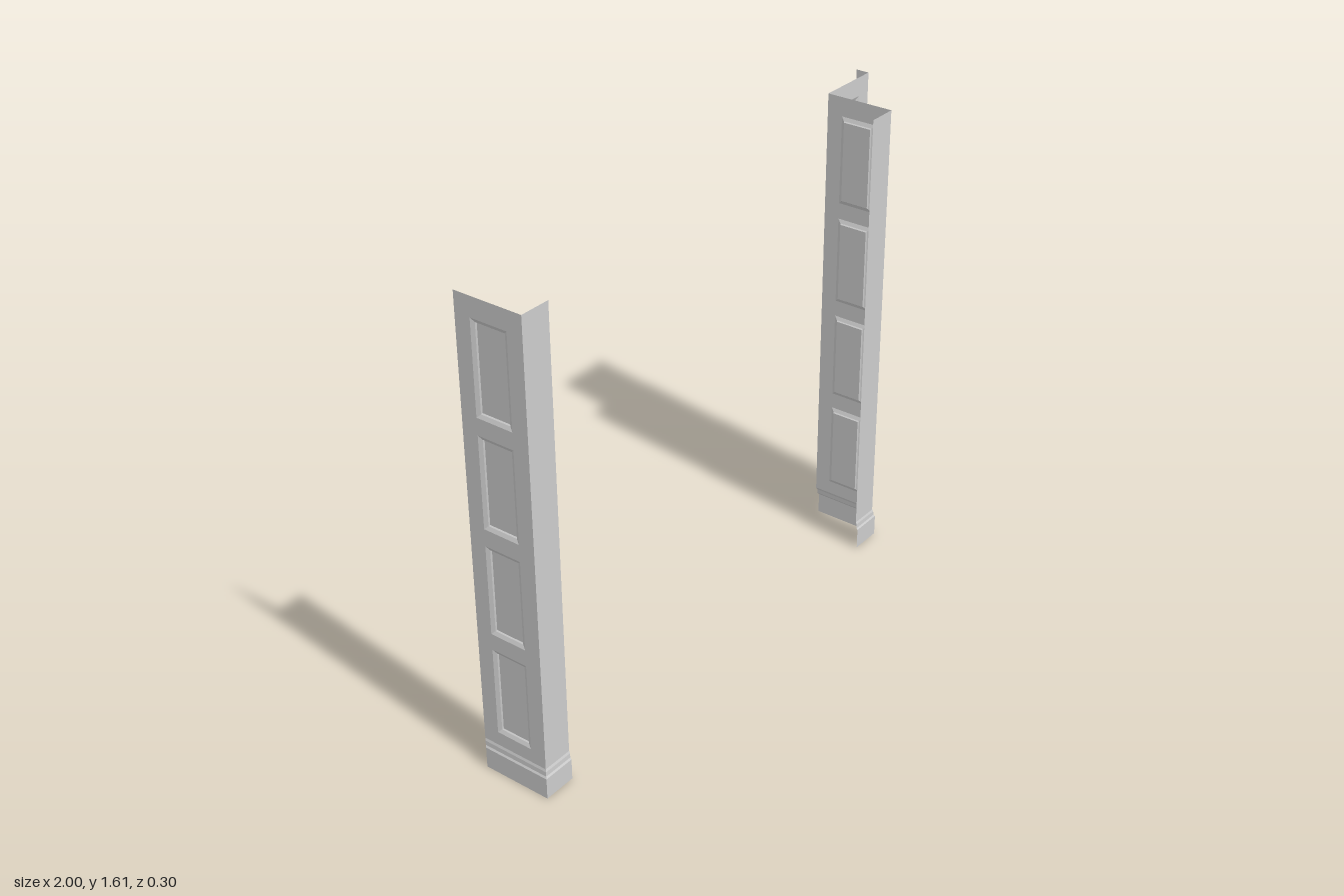
import * as THREE from 'three';

const HEIGHT = 1.605, BASE_TOP = 0.102;
const PANEL_W = 0.13, PANEL_H = 0.305;
const PANEL_CENTRES = [0.303, 0.664, 1.026, 1.387];

// Flat-shaded geometry from quads, corners counter-clockwise seen from the front
function quadGeometry(quads) {
  const pos = [];
  for (const [a, b, c, d] of quads) pos.push(...a, ...b, ...c, ...a, ...c, ...d);
  const g = new THREE.BufferGeometry();
  g.setAttribute('position', new THREE.Float32BufferAttribute(pos, 3));
  g.computeVertexNormals();
  return g;
}

function rectangle(cx, cy, w, h, z = 0) {
  return [[-1, -1], [1, -1], [1, 1], [-1, 1]].map(([sx, sy]) => [cx + sx * w / 2, cy + sy * h / 2, z]);
}

// Sunken panel: bevelled rim, small step and flat field
function panelGeometry() {
  const rings = [[0, 0], [0.012, -0.006], [0.015, -0.01]].map(([inset, z]) =>
    rectangle(0, 0, PANEL_W - 2 * inset, PANEL_H - 2 * inset, z));
  const quads = [rings[rings.length - 1]];
  for (let r = 0; r < rings.length - 1; r++) {
    for (let i = 0; i < 4; i++) {
      const j = (i + 1) % 4;
      quads.push([rings[r][i], rings[r][j], rings[r + 1][j], rings[r + 1][i]]);
    }
  }
  return quadGeometry(quads);
}

// Wall sheet, with openings where panels sit
function wallGeometry(length, panelled) {
  const outline = (pts) => pts.map(([x, y]) => new THREE.Vector2(x, y));
  const mid = (HEIGHT + BASE_TOP) / 2;
  const shape = new THREE.Shape(outline(rectangle(length / 2, mid, length, HEIGHT - BASE_TOP)));
  if (panelled) {
    for (const y of PANEL_CENTRES) {
      shape.holes.push(new THREE.Path(outline(rectangle(length / 2, y, PANEL_W, PANEL_H)).reverse()));
    }
  }
  return new THREE.ShapeGeometry(shape);
}

// Skirting profile swept along the wall line with mitred corners
function skirtingGeometry(line) {
  const profile = [[0, BASE_TOP], [0.003, 0.094], [0.004, 0.079], [0.008, 0.073], [0.008, 0]];
  const at = ([x, z, mx, mz], [out, y]) => [x + mx * out, y, z + mz * out];
  const quads = [];
  for (let i = 0; i < line.length - 1; i++) {
    for (let k = 0; k < profile.length - 1; k++) {
      const hi = profile[k], lo = profile[k + 1];
      quads.push([at(line[i], lo), at(line[i + 1], lo), at(line[i + 1], hi), at(line[i], hi)]);
    }
  }
  return quadGeometry(quads);
}

export function createModel() {
  const model = new THREE.Group();
  model.name = 'panelledWalls';
  const material = new THREE.MeshStandardMaterial({ color: 0xcccccc, side: THREE.DoubleSide });
  const panel = panelGeometry();

  const add = (parent, geometry, name) => {
    const mesh = new THREE.Mesh(geometry, material);
    mesh.name = name;
    parent.add(mesh);
    return mesh;
  };

  // Each point: x, z, then the mitre direction of the skirting
  const sections = {
    rightCorner: {
      line: [[-0.992, -0.10, -1, 1], [-0.992, 0.14, -1, 1], [-0.887, 0.14, 0, 1]],
      panelled: [true, false],
    },
    leftCorner: {
      line: [[0.653, 0.14, 0, 1], [0.757, 0.14, 1, 1], [0.757, -0.10, 1, 1],
        [0.992, -0.10, 1, 1], [0.992, -0.147, 1, 1]],
      panelled: [false, true, true, false],
    },
  };

  for (const [name, { line, panelled }] of Object.entries(sections)) {
    const section = new THREE.Group();
    section.name = name;
    model.add(section);
    add(section, skirtingGeometry(line), 'skirting');

    panelled.forEach((hasPanels, i) => {
      const [x, z] = line[i];
      const dx = line[i + 1][0] - x, dz = line[i + 1][1] - z;
      const length = Math.hypot(dx, dz);

      // Local x runs along the wall, local z points outward
      const wall = new THREE.Group();
      wall.name = hasPanels ? 'panelledWall' : 'plainWall';
      wall.position.set(x, 0, z);
      wall.rotation.y = Math.atan2(-dz, dx);
      section.add(wall);

      add(wall, wallGeometry(length, hasPanels), 'wallSheet');
      if (hasPanels) {
        for (const y of PANEL_CENTRES) add(wall, panel, 'sunkenPanel').position.set(length / 2, y, 0);
      }
    });
  }
  return model;
}
